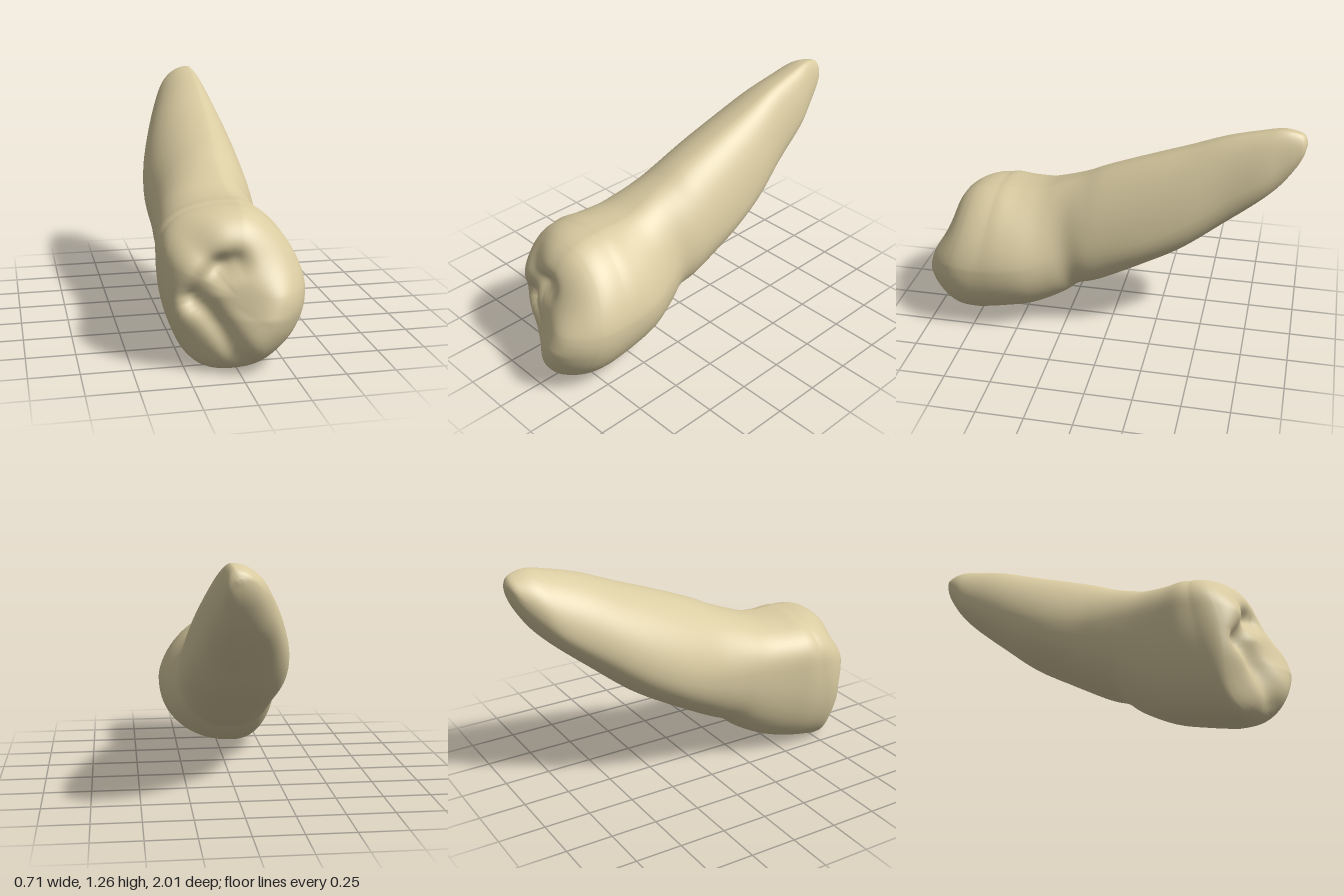
import * as THREE from 'three';

const SEG = 72;      // points around each cross-section
const STEPS = 5;     // rows between neighbouring sections
const CAP = 40;      // rings over the biting surface

// Cross-sections from root tip to crown rim:
// [z, tilt, left x, left y, top x, top y, right x, right y, bottom x, bottom y]
const SECTIONS = [
  [-1.0, 0, 0.045, 1.19, 0.06, 1.2, 0.075, 1.19, 0.06, 1.18],
  [-0.985, 0, -0.005, 1.18, 0.07, 1.232, 0.11, 1.17, 0.06, 1.12],
  [-0.95, 0, -0.05, 1.14, 0.08, 1.25, 0.128, 1.13, 0.06, 1.05],
  [-0.88, 0, -0.10, 1.08, 0.085, 1.26, 0.15, 1.08, 0.06, 0.95],
  [-0.78, 0, -0.15, 0.98, 0.085, 1.24, 0.18, 1.0, 0.05, 0.85],
  [-0.6, 0, -0.21, 0.87, 0.08, 1.19, 0.205, 0.89, 0.04, 0.70],
  [-0.4, 0, -0.265, 0.75, 0.07, 1.11, 0.245, 0.75, 0.02, 0.54],
  [-0.2, 0, -0.293, 0.66, 0.06, 1.035, 0.265, 0.64, 0.0, 0.42],
  [0.0, 0.05, -0.292, 0.6, 0.04, 0.945, 0.268, 0.57, 0.0, 0.31],
  [0.1, 0.1, -0.298, 0.58, 0.03, 0.885, 0.265, 0.53, -0.01, 0.265],
  [0.2, 0.16, -0.305, 0.57, 0.03, 0.835, 0.252, 0.49, -0.03, 0.228],
  [0.3, 0.2, -0.315, 0.56, 0.03, 0.797, 0.282, 0.45, -0.04, 0.165],
  [0.45, 0.1, -0.335, 0.55, 0.03, 0.784, 0.333, 0.42, -0.06, 0.08],
  [0.58, 0, -0.354, 0.55, 0.03, 0.788, 0.351, 0.41, -0.08, 0.035],
  [0.68, -0.15, -0.35, 0.54, 0.03, 0.784, 0.35, 0.4, -0.08, 0.003],
];
const NECK_SECTION = 10;

// Smooth interpolation of all section values
function sectionAt(i, t) {
  const s = k => SECTIONS[Math.min(Math.max(k, 0), SECTIONS.length - 1)];
  const [a, b, c, d] = [s(i - 1), s(i), s(i + 1), s(i + 2)];
  return b.map((_, n) => {
    const m0 = (c[n] - a[n]) / 2, m1 = (d[n] - b[n]) / 2;
    const t2 = t * t, t3 = t2 * t;
    return (2 * t3 - 3 * t2 + 1) * b[n] + (t3 - 2 * t2 + t) * m0
      + (3 * t2 - 2 * t3) * c[n] + (t3 - t2) * m1;
  });
}

// Closed outline of four rounded quarters through the section's extremes;
// the crown is squarer at its upper left and flatter at its upper right
function outline([z, tilt, xl, yl, xt, yt, xr, yr, xb, yb]) {
  const crown = THREE.MathUtils.smoothstep(z, 0, 0.45);
  const upLeft = THREE.MathUtils.lerp(1.85, 2.5, crown);
  const upRight = THREE.MathUtils.lerp(1.85, 1.65, crown);
  const ring = [];
  for (let j = 0; j < SEG; j++) {
    const a = (j / SEG) * Math.PI * 2, c = Math.cos(a), s = Math.sin(a);
    const right = c >= 0, up = s >= 0;
    const k = 2 / (up ? (right ? upRight : upLeft) : (right ? 2.1 : 2.35));
    const cx = up ? xt : xb, cy = right ? yr : yl;
    const x = cx + ((right ? xr : xl) - cx) * Math.pow(Math.abs(c), k);
    const y = cy + ((up ? yt : yb) - cy) * Math.pow(Math.abs(s), k);
    ring.push([x, y, z + tilt * (y - 0.4)]);
  }
  return ring;
}

// Distance from a point to a polyline
function distance(x, y, line) {
  let best = Infinity;
  for (let i = 0; i + 1 < line.length; i++) {
    const [ax, ay] = line[i], dx = line[i + 1][0] - ax, dy = line[i + 1][1] - ay;
    const t = THREE.MathUtils.clamp(((x - ax) * dx + (y - ay) * dy) / (dx * dx + dy * dy), 0, 1);
    best = Math.min(best, Math.hypot(x - ax - t * dx, y - ay - t * dy));
  }
  return best;
}
const bump = (d, w) => Math.exp(-(d * d) / (w * w));

const GROOVE = [[-0.02, 0.56], [-0.1, 0.53], [-0.17, 0.47], [-0.2, 0.39], [-0.1, 0.25], [-0.01, 0.1]];
const CUSP_RIDGE = [[0.18, 0.38], [0.13, 0.26], [0.04, 0.14]];

// Height of the biting surface: tall cusp, low lobes, curved groove and pits
function biteHeight(x, y) {
  const cusp = 0.115 * (1 - 2.5 * Math.max(0, y - 0.3));
  return 0.905
    + cusp * bump(distance(x, y, CUSP_RIDGE), 0.17)
    + 0.025 * bump(Math.hypot(x + 0.25, y - 0.52), 0.1)
    - 0.05 * bump(Math.hypot(x + 0.24, y - 0.12), 0.17)
    - 0.045 * bump(distance(x, y, GROOVE), 0.06)
    - 0.05 * bump(Math.hypot(x + 0.23, y - 0.38), 0.06)
    - 0.03 * bump(Math.hypot(x + 0.08, y - 0.54), 0.06);
}

export function createModel() {
  const rows = [];
  for (let i = 0; i < SECTIONS.length - 1; i++)
    for (let t = 0; t < STEPS; t++) rows.push(outline(sectionAt(i, t / STEPS)));
  const rim = outline(SECTIONS[SECTIONS.length - 1]);
  rows.push(rim);

  // Rounded cap from the rim inward, softer toward the top and the left
  const cx = -0.02, cy = 0.4;
  for (let i = 1; i <= CAP; i++) {
    const u = i / CAP;
    const r = u < 0.3 ? Math.pow(Math.cos(u * Math.PI / 2), 0.6)
      : Math.pow(Math.cos(0.15 * Math.PI), 0.6) * (1 - (u - 0.3) / 0.7);
    rows.push(rim.map(([x, y, z]) => {
      const n = 3.5 - 0.9 * THREE.MathUtils.smoothstep(y, 0.3, 0.75)
        - 0.7 * THREE.MathUtils.smoothstep(-x, 0.05, 0.3);
      const g = Math.pow(1 - Math.pow(r, n), 1 / n);
      const px = cx + (x - cx) * r, py = cy + (y - cy) * r;
      return [px, py, z + (biteHeight(px, py) - z) * g];
    }));
  }

  // Faces of the root and the crown over one shared set of points
  const faces = { root: [], crown: [] };
  for (let i = 0; i < rows.length - 1; i++) {
    const list = i < NECK_SECTION * STEPS ? faces.root : faces.crown;
    for (let j = 0; j < SEG; j++) {
      const k = (j + 1) % SEG, a = i * SEG, b = a + SEG;
      list.push(a + j, a + k, b + j, a + k, b + k, b + j);
    }
  }
  // Root tip closure
  for (let j = 1; j < SEG - 1; j++) faces.root.push(0, j + 1, j);

  const whole = new THREE.BufferGeometry();
  whole.setAttribute('position', new THREE.Float32BufferAttribute(rows.flat(2), 3));
  whole.setIndex([...faces.root, ...faces.crown]);
  whole.computeVertexNormals();

  const ivory = new THREE.MeshStandardMaterial({ color: 0xd9cba1 });
  ivory.name = 'ivory';
  const group = new THREE.Group();
  group.name = 'tooth';
  for (const name of ['root', 'crown']) {
    const geometry = new THREE.BufferGeometry();
    geometry.setAttribute('position', whole.getAttribute('position'));
    geometry.setAttribute('normal', whole.getAttribute('normal'));
    geometry.setIndex(faces[name]);
    const mesh = new THREE.Mesh(geometry, ivory);
    mesh.name = name;
    group.add(mesh);
  }
  return group;
}
